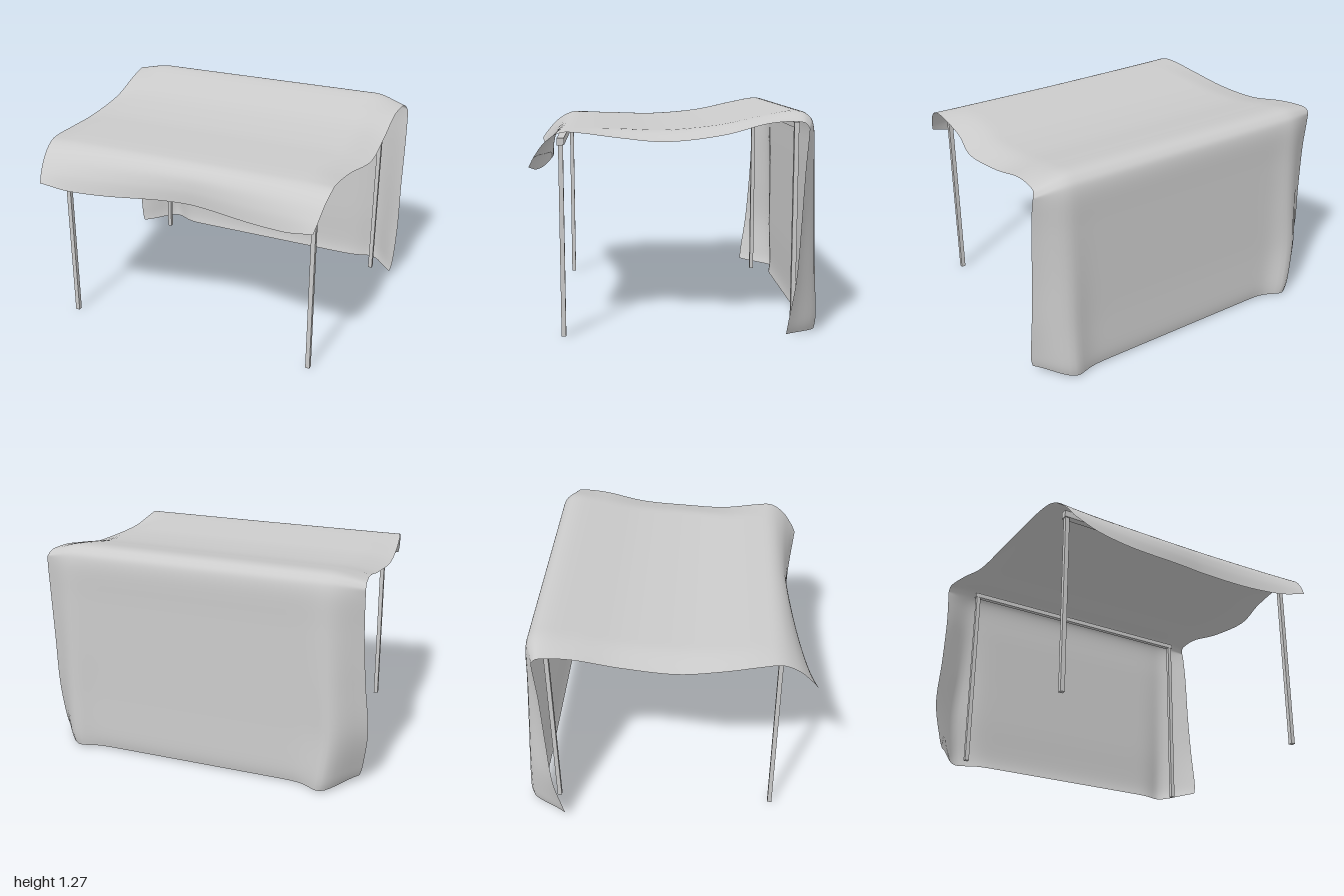
import * as THREE from 'three';

const material = new THREE.MeshStandardMaterial({ color: 0xcccccc });
const clothMaterial = new THREE.MeshStandardMaterial({ color: 0xcccccc, side: THREE.DoubleSide });

// Cloth stations from the front hem, over the roof, down to the back hem:
// z, y, left x, right x, bow in z, edge curl in z, edge lift in y
const STATIONS = [
  [0.71, 0.945, -0.82, 0.87, 0.12, 0, 0.02],
  [0.705, 1.03, -0.835, 0.885, 0.085, 0, 0],
  [0.68, 1.11, -0.85, 0.9, 0.04, 0, 0],
  [0.62, 1.16, -0.865, 0.91, 0.01, 0, 0],
  [0.52, 1.17, -0.885, 0.905, 0, 0, -0.01],
  [0.3, 1.165, -0.91, 0.91, 0, 0, -0.03],
  [0.05, 1.16, -0.925, 0.96, 0, 0, -0.04],
  [-0.25, 1.185, -0.92, 0.95, 0, 0, -0.035],
  [-0.5, 1.235, -0.935, 0.945, 0, 0, -0.025],
  [-0.67, 1.265, -0.955, 0.955, 0, 0, -0.04],
  [-0.75, 1.245, -0.96, 0.97, 0, 0.03, -0.045],
  [-0.785, 1.17, -0.96, 0.98, 0, 0.06, -0.02],
  [-0.785, 0.95, -0.96, 0.985, 0, 0.075, 0],
  [-0.785, 0.65, -0.975, 0.985, 0, 0.09, 0],
  [-0.785, 0.35, -0.998, 0.99, 0, 0.11, 0],
  [-0.79, 0.1, -0.97, 0.985, 0, 0.15, 0.01],
  [-0.78, 0.01, -0.95, 0.97, 0, 0.15, 0.02],
];

// Catmull-Rom value of every station column at t in 0..1
function stationAt(t) {
  const n = STATIONS.length - 1;
  const i = Math.min(Math.floor(t * n), n - 1);
  const f = t * n - i;
  const [a, b, c, d] = [-1, 0, 1, 2].map((k) => STATIONS[Math.min(Math.max(i + k, 0), n)]);
  return b.map((p, k) => p + 0.5 * f * (c[k] - a[k]
    + f * (2 * a[k] - 5 * p + 4 * c[k] - d[k] + f * (3 * (p - c[k]) + d[k] - a[k]))));
}

function clothPoint(u, t) {
  const [z, y, left, right, bow, curl, lift] = stationAt(t);
  const edge = THREE.MathUtils.smoothstep(Math.abs(u), 0.78, 1.08) / 0.74;
  const droop = edge * (u > 0 ? 1.1 : 0.7);
  const drape = t > 0.65 ? THREE.MathUtils.clamp(1 - y / 1.2, 0, 1) : 0;
  const hem = Math.max(0, 1 - t * 6);
  // soft folds beside the back corners, and a wavy front hem
  const fold = Math.exp(-(((Math.abs(u) - 0.83) / 0.11) ** 2)) * (u < 0 ? 0.07 : 0.04) * drape;
  const wave = hem * 0.012 * Math.cos(u * 5.2) + 0.006 * u * Math.sin(t * Math.PI);
  return [
    THREE.MathUtils.lerp(left, right, (u + 1) / 2),
    Math.max(0.005, y + lift * (lift < 0 ? droop : edge) + wave),
    z + bow * Math.abs((u - 0.12) / 1.05) ** 1.4 + curl * edge - fold,
  ];
}

function makeCloth() {
  const across = 64, along = 112;
  const positions = [], index = [];
  for (let j = 0; j <= along; j++) {
    for (let i = 0; i <= across; i++) positions.push(...clothPoint(i / across * 2 - 1, j / along));
  }
  for (let j = 0; j < along; j++) {
    for (let i = 0; i < across; i++) {
      const a = j * (across + 1) + i, b = a + across + 1;
      index.push(a, a + 1, b, a + 1, b + 1, b);
    }
  }
  const geometry = new THREE.BufferGeometry();
  geometry.setAttribute('position', new THREE.Float32BufferAttribute(positions, 3));
  geometry.setIndex(index);
  geometry.computeVertexNormals();
  return geometry;
}

export function createModel() {
  const group = new THREE.Group();
  const add = (name, geometry, x, y, z, mat = material) => {
    const mesh = new THREE.Mesh(geometry, mat);
    mesh.name = name;
    mesh.position.set(x, y, z);
    group.add(mesh);
  };

  // Draped canopy with short front flap and full back wall
  add('canopyCloth', makeCloth(), 0, 0, 0, clothMaterial);

  // Two posts and a crossbeam at front and back
  for (const [side, z, top, beam] of [['front', 0.63, 1.13, 0.04], ['back', -0.68, 1.21, 0.03]]) {
    for (const x of [-0.76, 0.82]) {
      add(side + 'Post', new THREE.BoxGeometry(0.026, top - beam, 0.026), x, (top - beam) / 2, z);
    }
    add(side + 'Beam', new THREE.BoxGeometry(1.62, beam, beam), 0.03, top - beam / 2, z);
  }
  return group;
}
